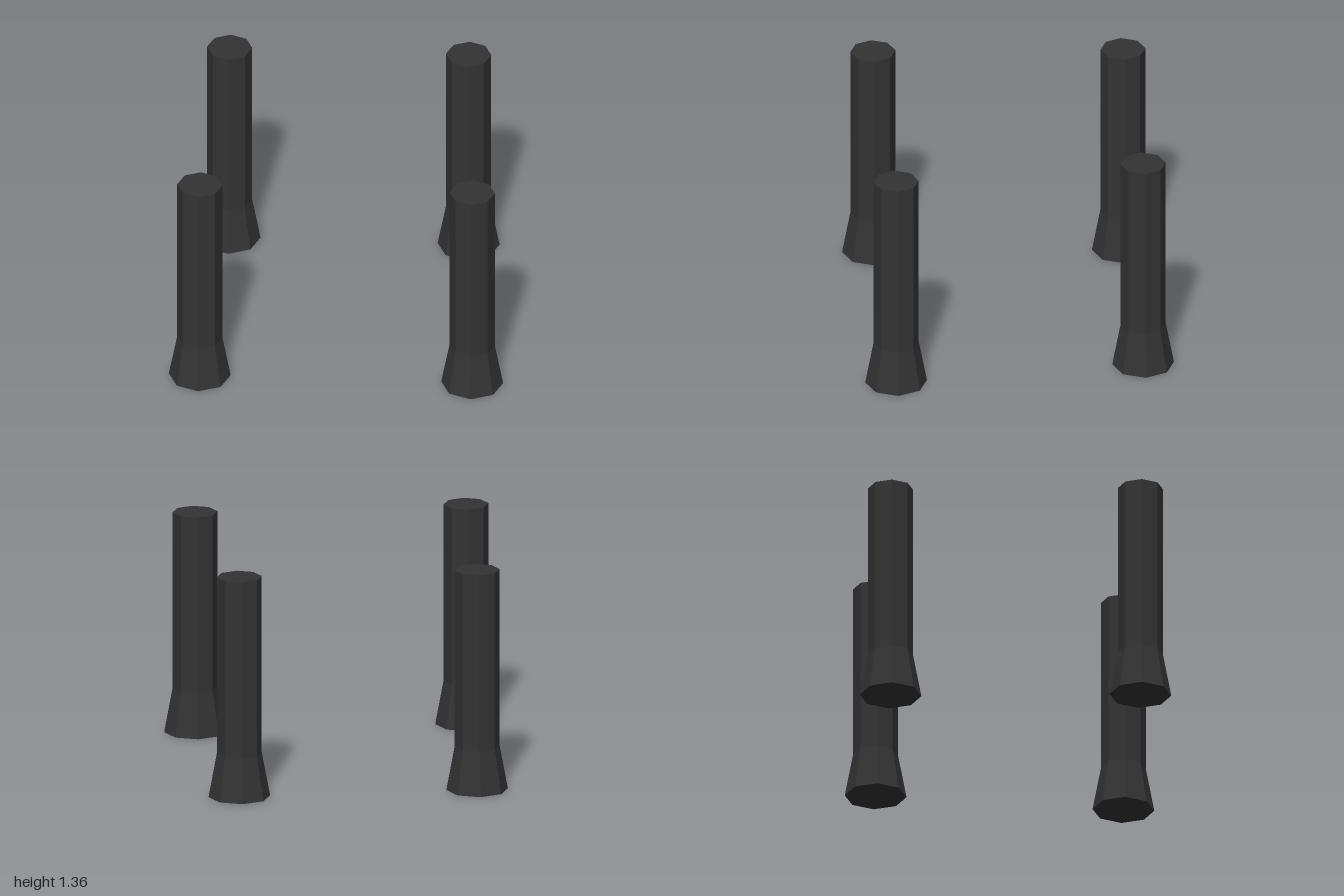
import * as THREE from 'three';

export function createModel() {
  const model = new THREE.Group();
  model.name = 'legSet';

  const material = new THREE.MeshStandardMaterial({ color: 0x333333, flatShading: true });

  // Eight-sided leg: flared foot, straight shaft, closed at both ends
  const profile = [[0, 0], [0.185, 0], [0.135, 0.27], [0.135, 1.36], [0, 1.36]]
    .map(([r, y]) => new THREE.Vector2(r, y));
  const legGeometry = new THREE.LatheGeometry(profile, 8);

  // The front pair stands slightly wider than the back pair
  const pairs = [
    { name: 'Front', x: 0.815, z: 0.745 },
    { name: 'Back', x: 0.715, z: -0.745 },
  ];
  for (const { name, x, z } of pairs) {
    for (const side of [1, -1]) {
      const leg = new THREE.Mesh(legGeometry, material);
      leg.name = (side > 0 ? 'left' : 'right') + name + 'Leg';
      leg.position.set(side * x, 0, z);
      model.add(leg);
    }
  }
  return model;
}
